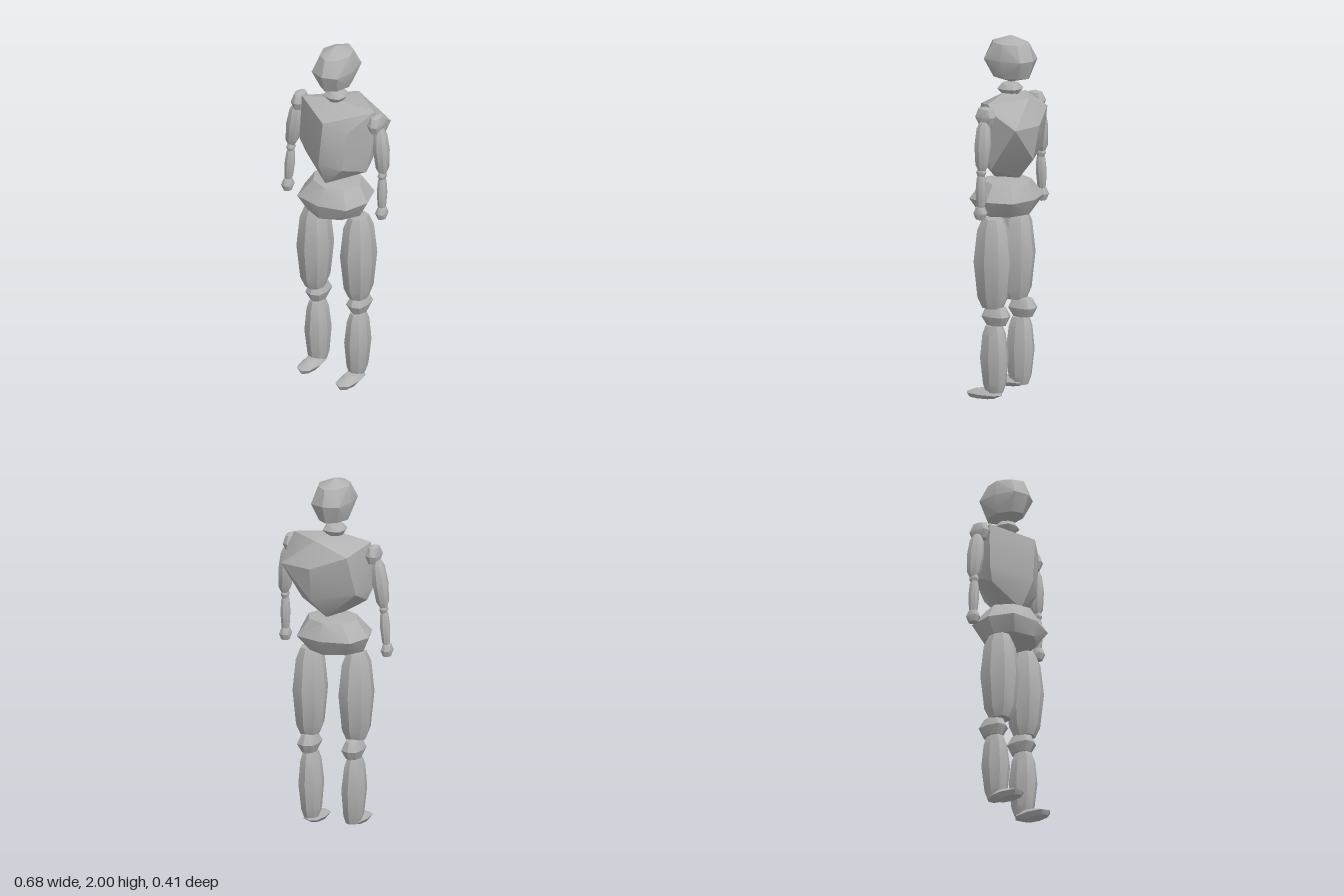
import * as THREE from 'three';
import { toCreasedNormals } from 'three/addons/utils/BufferGeometryUtils.js';
import { ConvexGeometry } from 'three/addons/geometries/ConvexGeometry.js';

const grey = new THREE.MeshStandardMaterial({ color: 0xb2b2b2 });
grey.name = 'clay grey';

// Faceted solid wrapped around a few corner points
function hull(name, points) {
  const geometry = new ConvexGeometry(points.map(p => new THREE.Vector3(...p)));
  const mesh = new THREE.Mesh(toCreasedNormals(geometry, 0.5), grey);
  mesh.name = name;
  return mesh;
}

// Eight corners around a centre; d pulls the diagonal corners in or out
function ring([y, cx, cz, rx, rz, d = 0.78]) {
  const points = [];
  for (const s of [-1, 1]) {
    points.push([cx + s * rx, y, cz], [cx, y, cz + s * rz]);
    for (const t of [-1, 1]) points.push([cx + s * rx * d, y, cz + t * rz * d]);
  }
  return points;
}

const blob = (name, rings, extra = []) => hull(name, [...rings.flatMap(ring), ...extra]);

// Rounded joint: widest in the middle, with a slight peak at both ends
function joint(name, x, y, z, rx, ry, rz) {
  return blob(name, [
    [y + ry * 0.8, x, z, rx * 0.75, rz * 0.75, 0.68],
    [y, x, z, rx, rz, 0.8],
    [y - ry * 0.8, x, z, rx * 0.75, rz * 0.75, 0.68],
  ], [[x, y + ry, z], [x, y - ry, z]]);
}

// Muscle-like limb from a top centre to a bottom centre
function limb(name, top, bottom, rx, rz, ends = 0.5) {
  const rings = [[0, ends], [0.13, 0.82], [0.48, 1], [0.88, 0.8], [1, ends]].map(([t, w]) => {
    const [x, y, z] = top.map((v, i) => v + (bottom[i] - v) * t);
    return [y, x, z, rx * w, rz * w, 0.75];
  });
  return blob(name, rings);
}

export function createModel() {
  const model = new THREE.Group();
  model.name = 'figure';

  // Head and neck
  model.add(blob('head', [
    [1.96, 0.005, 0.005, 0.087, 0.118, 0.66],
    [1.87, 0.005, 0.007, 0.105, 0.148, 0.8],
    [1.77, 0.003, 0.005, 0.08, 0.115, 0.68],
  ], [[0, 2, 0.005], [0, 1.74, 0.01]]));
  model.add(joint('neck', 0.003, 1.705, 0.01, 0.062, 0.035, 0.065));

  // Angular chest, slightly lopsided
  model.add(hull('chest', [
    [-0.2, 1.65, 0.04], [0.245, 1.66, 0], [0.02, 1.69, 0.025], [0.05, 1.672, -0.14],
    [0.03, 1.605, 0.18], [0.155, 1.56, 0.117], [0.253, 1.6, -0.058],
    [0.237, 1.53, -0.175], [0.05, 1.53, -0.208], [-0.14, 1.6, -0.137],
    [-0.208, 1.39, 0.05], [-0.17, 1.38, -0.09], [0.005, 1.35, 0.186],
    [0.235, 1.45, 0.01], [0.2, 1.285, 0.01], [-0.175, 1.315, 0.04],
    [0.12, 1.32, 0.13], [0.06, 1.34, -0.175], [0, 1.2, 0.11], [0.02, 1.22, -0.06],
  ]));

  // Pelvis with a sharp rim
  model.add(blob('pelvis', [
    [1.2, 0.02, 0.02, 0.145, 0.135, 0.68],
    [1.105, 0.013, 0.026, 0.204, 0.179, 0.78],
    [1.02, 0.01, 0.035, 0.165, 0.15, 0.66],
  ], [[0.01, 1.215, 0.02], [0.01, 0.985, 0.02]]));

  // Legs: hip x, knee x, ankle x, depth and foot height differ per side
  const legs = [
    { side: 'right', hip: -0.11, knee: -0.113, ankle: -0.105, z: 0.045, floor: 0.024, rx: 0.092 },
    { side: 'left', hip: 0.158, knee: 0.153, ankle: 0.147, z: 0.022, floor: 0, rx: 0.09 },
  ];
  for (const { side, hip, knee, ankle, z, floor, rx } of legs) {
    const leg = new THREE.Group();
    leg.name = side + 'Leg';
    const footX = ankle;
    leg.add(
      limb('thigh', [hip, 1.01, z], [knee + 0.005, 0.515, z], rx, 0.108, 0.55),
      joint('knee', knee, 0.47, 0.005, 0.056, 0.062, 0.082),
      limb('shin', [knee, 0.415, 0.018], [ankle, 0.045, 0.018], 0.064, 0.082, 0.6),
      blob('foot', [
        [floor + 0.056, footX, 0.055, 0.036, 0.075, 0.7],
        [floor + 0.03, footX, 0.083, 0.055, 0.113, 0.76],
        [floor + 0.005, footX, 0.105, 0.036, 0.08, 0.7],
      ], [[footX, floor, 0.1], [footX, floor + 0.064, 0.02]]),
    );
    model.add(leg);
  }

  // Arms
  const arms = [
    { side: 'right', shoulder: -0.236, upper: -0.257, elbow: -0.294, wrist: -0.308, hand: -0.311, y: 1.06 },
    { side: 'left', shoulder: 0.261, upper: 0.283, elbow: 0.301, wrist: 0.3, hand: 0.301, y: 1.066 },
  ];
  for (const { side, shoulder, upper, elbow, wrist, hand, y } of arms) {
    const arm = new THREE.Group();
    arm.name = side + 'Arm';
    arm.add(
      joint('shoulder', shoulder, 1.595, 0.002, 0.038, 0.056, 0.06),
      limb('upperArm', [upper, 1.57, 0], [elbow, 1.305, 0], 0.042, 0.046, 0.45),
      joint('elbow', elbow, 1.292, 0.005, 0.021, 0.028, 0.028),
      limb('forearm', [elbow, 1.285, 0.006], [wrist, 1.085, 0.008], 0.026, 0.03, 0.55),
      joint('hand', hand, y, 0.01, 0.031, 0.041, 0.038),
    );
    model.add(arm);
  }
  return model;
}
